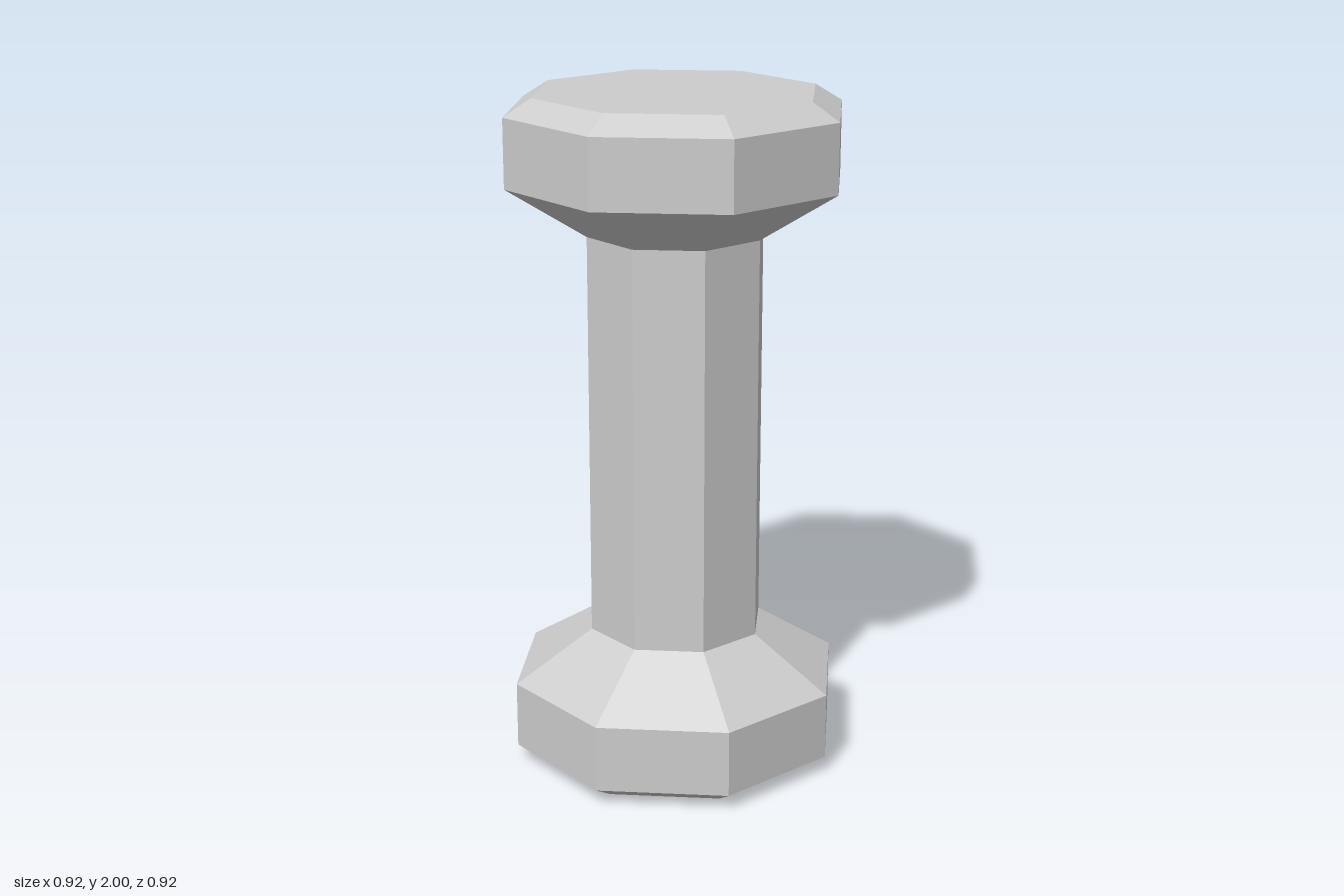
import * as THREE from 'three';

const SIDES = 8;

// Octagonal solid turned from [radius, y] pairs, listed bottom to top, with crisp facets
function octagonal(name, profile, material) {
  const points = profile.map(([r, y]) => new THREE.Vector2(r, y));
  const geometry = new THREE.LatheGeometry(points, SIDES, Math.PI / SIDES).toNonIndexed();
  geometry.computeVertexNormals();
  const mesh = new THREE.Mesh(geometry, material);
  mesh.name = name;
  return mesh;
}

export function createModel() {
  const group = new THREE.Group();
  group.name = 'dumbbell';
  const metal = new THREE.MeshStandardMaterial({ color: 0xcccccc });
  metal.name = 'grey metal';

  // Bottom weight: chamfered foot, straight rim, taper into the handle
  const weight = [[0, 0], [0.418, 0], [0.5, 0.05], [0.5, 0.25], [0.265, 0.4]];
  group.add(octagonal('bottomWeight', weight, metal));

  // Handle
  group.add(octagonal('handle', [[0.265, 0.4], [0.265, 1.6]], metal));

  // Top weight mirrors the bottom one
  const mirrored = weight.map(([r, y]) => [r, 2 - y]).reverse();
  group.add(octagonal('topWeight', mirrored, metal));

  return group;
}
